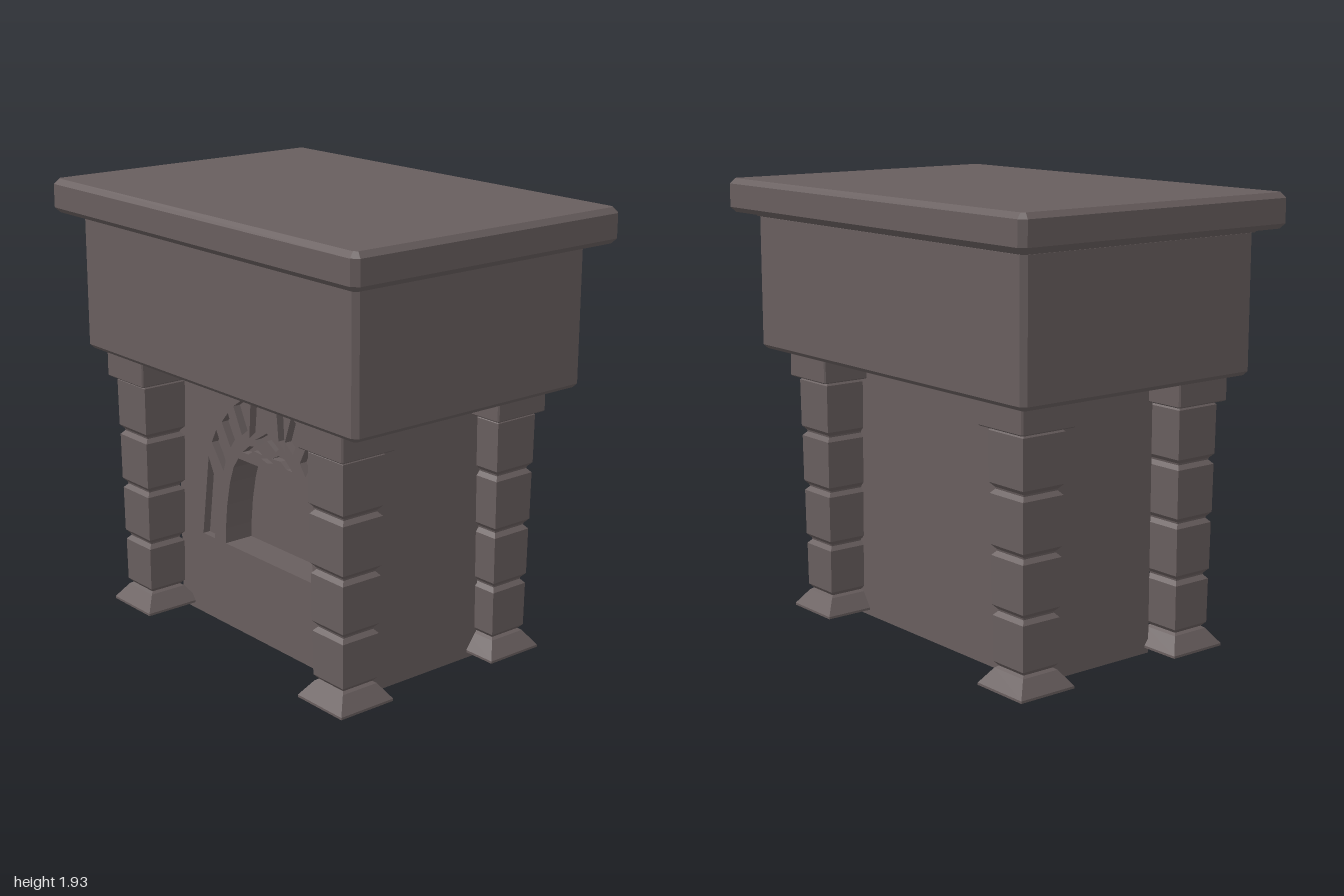
import * as THREE from 'three';

const material = new THREE.MeshStandardMaterial({ color: 0x685e5e, flatShading: true });

function add(parent, name, geometry) {
  const mesh = new THREE.Mesh(geometry, material);
  mesh.name = name;
  parent.add(mesh);
  return mesh;
}

const toShape = (pts, Type = THREE.Shape) => new Type(pts.map(([x, y]) => new THREE.Vector2(x, y)));
const mirror = (pts) => pts.map(([x, y]) => [-x, y]).reverse();

// Box with every edge chamfered by c, standing between heights y0 and y1
function chamferedBox(hx, hz, y0, y1, c) {
  const x = hx - c, z = hz - c, k = c * 0.6;
  const outline = toShape([
    [x, -z + k], [x, z - k], [x - k, z], [-x + k, z],
    [-x, z - k], [-x, -z + k], [-x + k, -z], [x - k, -z],
  ]);
  const geometry = new THREE.ExtrudeGeometry(outline, {
    depth: y1 - y0 - 2 * c, bevelEnabled: true, bevelThickness: c, bevelSize: c, bevelSegments: 1,
  });
  return geometry.rotateX(-Math.PI / 2).translate(0, y0 + c, 0);
}

// Square column: flared foot, four stacked blocks with grooves between
function columnGeometry() {
  const profile = [[0, 0.025], [0.135, 0.025], [0.135, 0.035], [0.088, 0.1]];
  const joints = [0.105, 0.338, 0.582, 0.83, 1.08];
  for (let i = 0; i < 4; i++) {
    const half = 0.091 + i * 0.004;
    const a = joints[i], b = joints[i + 1];
    profile.push([half - 0.016, a + 0.004], [half, a + 0.022], [half + 0.002, b - 0.022], [half - 0.014, b - 0.004]);
  }
  const points = profile.map(([h, y]) => new THREE.Vector2(h * Math.SQRT2, y));
  return new THREE.LatheGeometry(points, 4).rotateY(Math.PI / 4);
}

// Firebox mouth, listed on the right side and mirrored
const mouthSide = [[0.3, 0.38], [0.297, 0.45], [0.285, 0.56], [0.262, 0.67], [0.235, 0.745], [0.2, 0.795]];
const mouth = [...mouthSide, ...mirror(mouthSide)];

// Carved slots that fan around the arch (right side)
const slots = [
  [[0.415, 0.75], [0.465, 0.38], [0.38, 0.38], [0.345, 0.61]],
  [[0.355, 0.885], [0.39, 0.82], [0.307, 0.71], [0.29, 0.76]],
  [[0.27, 0.98], [0.315, 0.93], [0.254, 0.83], [0.217, 0.88]],
  [[0.163, 1.065], [0.23, 1.02], [0.172, 0.905], [0.12, 0.945]],
  [[0.06, 1.115], [0.108, 1.09], [0.12, 0.905], [0.078, 0.94]],
  [[0.17, 0.83], [0.12, 0.87], [0.08, 0.877], [0.03, 0.852], [0.09, 0.855], [0.13, 0.83]],
];
// Ornaments on the centre line
const centreCuts = [
  [[0, 0.955], [0.08, 0.907], [0.06, 0.888], [0, 0.922], [-0.06, 0.888], [-0.08, 0.907]],
  [[0, 0.846], [0.04, 0.835], [0, 0.824], [-0.04, 0.835]],
];

function wallPlate(holes, z0, z1) {
  const shape = toShape([[-0.63, 0], [0.63, 0], [0.63, 1.21], [-0.63, 1.21]]);
  shape.holes = holes.map((pts) => toShape(pts, THREE.Path));
  return new THREE.ExtrudeGeometry(shape, { depth: z1 - z0, bevelEnabled: false }).translate(0, 0, z0);
}

export function createModel() {
  const model = new THREE.Group();
  model.name = 'fireplace';

  // Hearth block in layers: solid back, deep mouth, shallow carved front
  const hearth = new THREE.Group();
  hearth.name = 'hearth';
  model.add(hearth);
  add(hearth, 'hearthBack', wallPlate([], -0.31, 0.17));
  add(hearth, 'fireboxWall', wallPlate([mouth], 0.17, 0.275));
  add(hearth, 'carvedFront', wallPlate([mouth, ...slots, ...slots.map(mirror), ...centreCuts], 0.275, 0.31));

  // Four corner columns with capitals
  for (const [side, x] of [['right', -0.673], ['left', 0.646]]) {
    for (const [end, z] of [['Front', 0.425], ['Back', -0.392]]) {
      const column = new THREE.Group();
      column.name = `${side}${end}Column`;
      column.position.set(x, 0, z);
      add(column, 'shaft', columnGeometry());
      add(column, 'capital', chamferedBox(0.135, 0.135, 1.074, 1.21, 0.005));
      model.add(column);
    }
  }

  // Overmantel, neck moulding and top slab
  add(model, 'overmantel', chamferedBox(0.9, 0.6, 1.19, 1.785, 0.018));
  add(model, 'neckMoulding', chamferedBox(0.912, 0.612, 1.768, 1.8, 0.01));
  add(model, 'topSlab', chamferedBox(1, 0.69, 1.785, 1.93, 0.022));

  return model;
}
